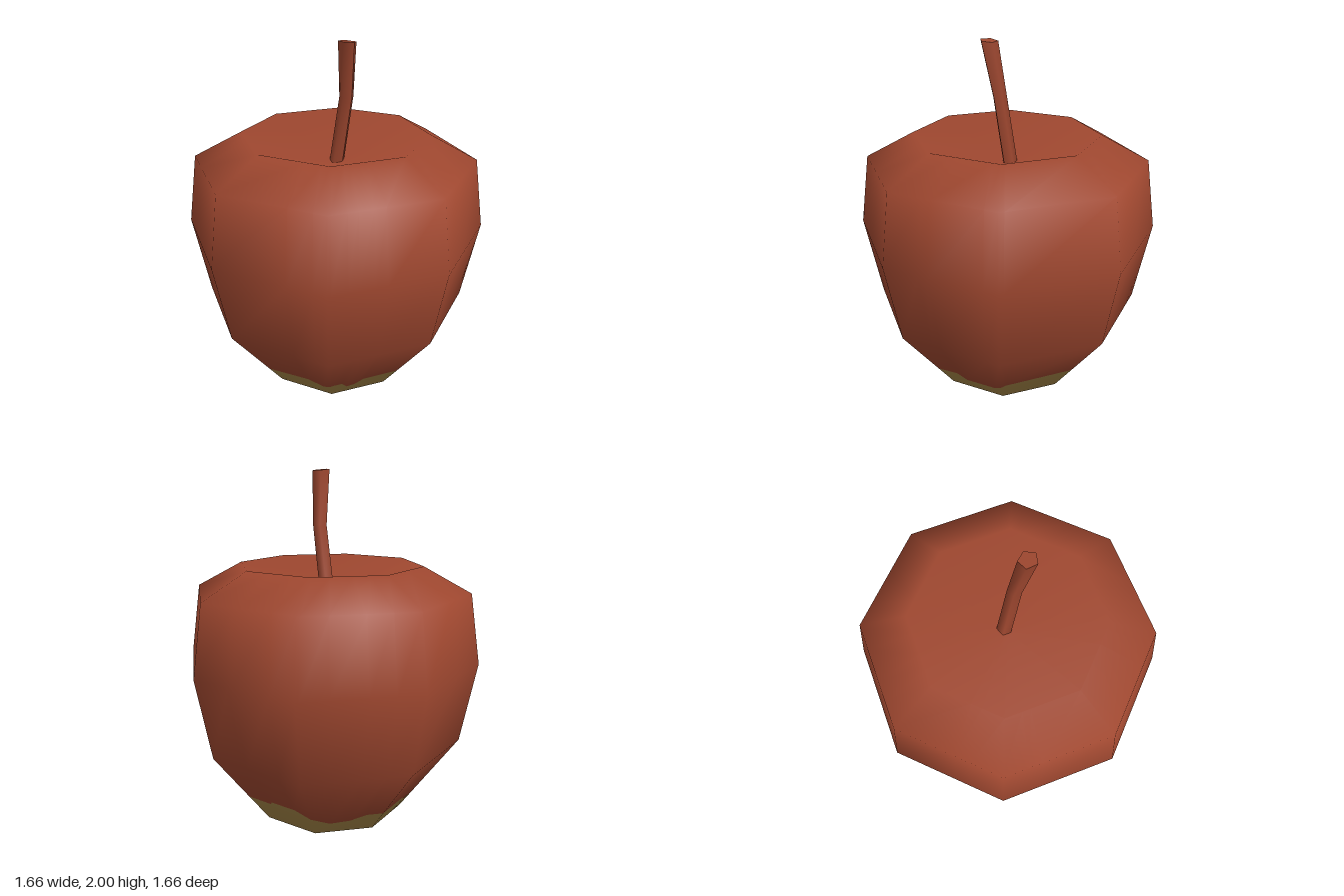
import * as THREE from 'three';

// Body profile from the bottom tip to the dip at the stem: [radius, height]
const profile = [[0, 0], [0.42, 0.07], [0.745, 0.51], [0.832, 0.96], [0.775, 1.35], [0.515, 1.49], [0, 1.32]];
const SIDES = 8;

// Ragged upper edge of the bottom patch: [angle from the front in degrees, height]
const edge = [
  [0, 0.21], [14, 0.22], [18, 0.16], [40, 0.16], [47, 0.22], [90, 0.235], [106, 0.23], [108, 0.25],
  [125, 0.25], [136, 0.2], [146, 0.15], [160, 0.16], [170, 0.2], [205, 0.2], [212, 0.16], [235, 0.18],
  [240, 0.22], [270, 0.19], [300, 0.21], [310, 0.16], [316, 0.2], [322, 0.2], [326, 0.14], [332, 0.15],
  [337, 0.2], [360, 0.21],
];

function edgeHeight(deg) {
  const i = Math.max(1, edge.findIndex((e) => e[0] >= deg));
  const [a, b] = [edge[i - 1], edge[i]];
  return a[1] + (b[1] - a[1]) * (deg - a[0]) / (b[0] - a[0]);
}

// Smooth profile normals, averaged from the neighbouring segments
const profileNormals = profile.map((p, i) => {
  if (i === 0) return new THREE.Vector2(0, -1);
  if (i === profile.length - 1) return new THREE.Vector2(0, 1);
  const seg = (a, b) => new THREE.Vector2(b[1] - a[1], a[0] - b[0]).normalize();
  return seg(profile[i - 1], p).add(seg(p, profile[i + 1])).normalize();
});

// Position and normal on the eight-sided body at an angle and a profile level
function surface(deg, level) {
  const i = Math.min(Math.floor(level), profile.length - 2), f = level - i;
  const r = THREE.MathUtils.lerp(profile[i][0], profile[i + 1][0], f);
  const y = THREE.MathUtils.lerp(profile[i][1], profile[i + 1][1], f);
  const n = profileNormals[i].clone().lerp(profileNormals[i + 1], f);
  const step = 360 / SIDES, k = Math.floor(deg / step);
  const corner = (j) => new THREE.Vector3(Math.sin(j * step * Math.PI / 180), 0, Math.cos(j * step * Math.PI / 180));
  // Along one side, blend between its two corner directions
  const a = corner(k), b = corner(k + 1);
  const rel = (deg - k * step - step / 2) * Math.PI / 180;
  const s = 0.5 + 0.5 * Math.tan(rel) / Math.tan(step * Math.PI / 360);
  const dir = a.lerp(b, s);
  return {
    position: dir.clone().multiplyScalar(r).setY(y),
    normal: dir.clone().multiplyScalar(n.x).setY(n.y).normalize(),
  };
}

// Closed band of the body between the given levels
function band(levels) {
  const angles = edge.map((e) => e[0]);
  for (let i = 0; i < SIDES; i++) angles.push(i * 360 / SIDES);
  const columns = [...new Set(angles)].sort((a, b) => a - b);
  const pos = [], nor = [], index = [], rows = levels.length;
  columns.forEach((deg, i) => {
    levels.forEach((level, j) => {
      const s = surface(deg, typeof level === 'function' ? level(deg) : level);
      pos.push(...s.position.toArray());
      nor.push(...s.normal.toArray());
      if (i === columns.length - 1 || j === rows - 1) return;
      const a = i * rows + j, b = a + rows;
      index.push(a, b, b + 1, a, b + 1, a + 1);
    });
  });
  const g = new THREE.BufferGeometry();
  g.setAttribute('position', new THREE.Float32BufferAttribute(pos, 3));
  g.setAttribute('normal', new THREE.Float32BufferAttribute(nor, 3));
  g.setIndex(index);
  return g;
}

// Thin bent stem: a five-sided cylinder whose rings follow three centres
function stemGeometry() {
  const centres = [[0.022, 1.3, -0.01], [0.022, 1.7, 0.068], [-0.014, 1.995, 0.11]];
  const radii = [0.042, 0.039, 0.049];
  const g = new THREE.CylinderGeometry(1, 1, 2, 5, 2);
  const p = g.attributes.position;
  for (let i = 0; i < p.count; i++) {
    const k = Math.round(p.getY(i)) + 1, c = centres[k], r = radii[k];
    const x = p.getX(i) * r, z = p.getZ(i) * r;
    // The top ring tilts slightly with the bend
    p.setXYZ(i, c[0] + x, c[1] + (k === 2 ? -0.1 * x : 0), c[2] + z);
  }
  g.computeVertexNormals();
  return g;
}

export function createModel() {
  const red = new THREE.MeshStandardMaterial({ color: 0xa04830 });
  red.name = 'russetRed';
  const olive = new THREE.MeshStandardMaterial({ color: 0xa88848 });
  olive.name = 'oliveYellow';

  const group = new THREE.Group();
  group.name = 'apple';
  const add = (name, geometry, material) => {
    const mesh = new THREE.Mesh(geometry, material);
    mesh.name = name;
    group.add(mesh);
  };

  const patchTop = (deg) => 1 + (edgeHeight(deg) - profile[1][1]) / (profile[2][1] - profile[1][1]);
  add('skin', band([patchTop, 2, 3, 4, 5, 6]), red);
  add('bottomPatch', band([0, 1, patchTop]), olive);
  add('stem', stemGeometry(), red);
  return group;
}
